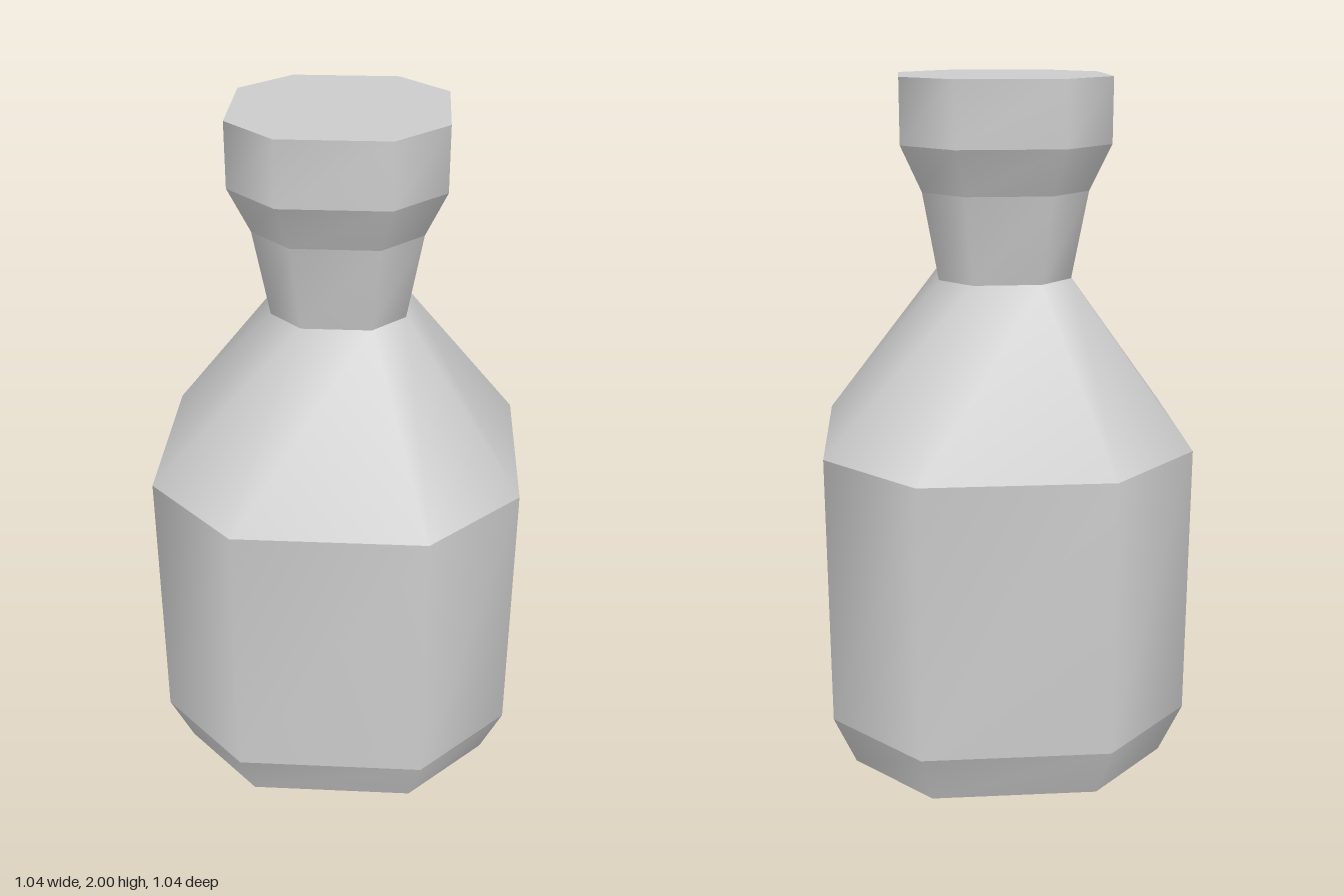
import * as THREE from 'three';

// Corners of the eight-sided section for a half-width of 1 (a square with cut corners)
const K = 0.515;
const SECTION = [[-K, 1], [K, 1], [1, K], [1, -K], [K, -1], [-K, -1], [-1, -K], [-1, K]];

// One ring of faces between two levels: smooth around, hard at its rims
function band(name, [r0, y0], [r1, y1]) {
  const n = SECTION.length, pos = [], index = [];
  for (const [r, y] of [[r0, y0], [r1, y1]])
    for (const [x, z] of SECTION) pos.push(x * r, y, z * r);
  for (let i = 0; i < n; i++) {
    const j = (i + 1) % n;
    if (r0 > 0) index.push(i, j, n + j);
    if (r1 > 0) index.push(i, n + j, n + i);
  }
  const geo = new THREE.BufferGeometry();
  geo.setAttribute('position', new THREE.Float32BufferAttribute(pos, 3));
  geo.setIndex(index);
  geo.computeVertexNormals();
  const mesh = new THREE.Mesh(geo, new THREE.MeshStandardMaterial({ color: 0xcccccc }));
  mesh.name = name;
  return mesh;
}

export function createModel() {
  const group = new THREE.Group();
  group.name = 'bottle';
  // Profile from the base up: half-width, height
  const profile = [[0, 0], [0.46, 0], [0.522, 0.16], [0.522, 0.97], [0.188, 1.44],
    [0.232, 1.69], [0.29, 1.82], [0.29, 2], [0, 2]];
  const names = ['base', 'baseBevel', 'body', 'shoulder', 'neck', 'lipFlare', 'lip', 'top'];
  names.forEach((name, i) => group.add(band(name, profile[i], profile[i + 1])));
  return group;
}
